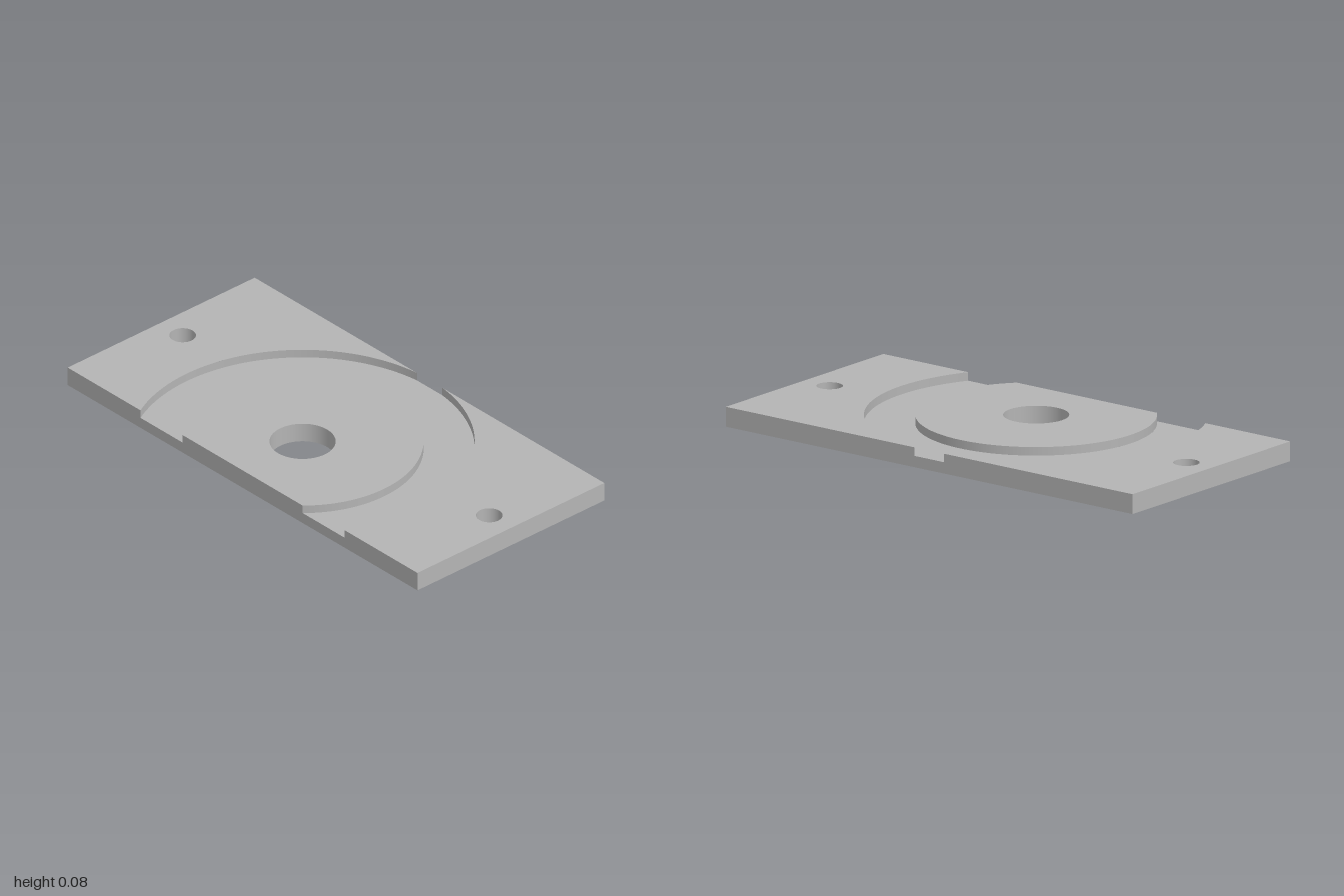
import * as THREE from 'three';

const W = 0.484, L = 1, H = 0.079, FLOOR = 0.045; // half width, half length, plate and groove heights
const CX = -0.173, BORE = 0.127, HUB = 0.464, RIM = 0.661; // groove centre and radii
const SCREW = 0.051, SCREW_Z = 0.877;
const SEG = 96;

export function createModel() {
  const group = new THREE.Group();
  const grey = new THREE.MeshStandardMaterial({ color: 0xb4b4b4 });
  grey.name = 'grey';

  const add = (name, geometry) => {
    const mesh = new THREE.Mesh(geometry, grey);
    mesh.name = name;
    group.add(mesh);
  };
  const circle = (x, y, r) => new THREE.Path().absarc(x, y, r, 0, Math.PI * 2, true);
  // Horizontal face, drawn in (x, -z)
  const face = (name, shape, y, up = true) => add(name,
    new THREE.ShapeGeometry(shape, SEG).rotateX(up ? -Math.PI / 2 : Math.PI / 2).translate(0, y, 0));
  // Upright curved wall; inward walls face their own axis
  const wall = (name, x, z, r, y0, y1, inward, start = 0, length = Math.PI * 2) => {
    const g = new THREE.CylinderGeometry(r, r, y1 - y0, SEG, 1, true, start, length).translate(x, (y0 + y1) / 2, z);
    if (inward) {
      g.index.array.reverse();
      const n = g.attributes.normal;
      for (let i = 0; i < n.count; i++) n.setXYZ(i, -n.getX(i), 0, -n.getZ(i));
    }
    add(name, g);
  };

  // Where the circles cross the long edges of the plate
  const left = -W - CX, right = W - CX;
  const hubA = Math.acos(left / HUB), rimA = Math.acos(left / RIM), rimB = Math.acos(right / RIM);
  const hubZ = HUB * Math.sin(hubA), rimZ = RIM * Math.sin(rimA), notchZ = RIM * Math.sin(rimB);

  // Underside
  const bottom = new THREE.Shape([[-W, -L], [W, -L], [W, L], [-W, L]].map(p => new THREE.Vector2(...p)));
  bottom.holes.push(circle(CX, 0, BORE), circle(0, SCREW_Z, SCREW), circle(0, -SCREW_Z, SCREW));
  face('underside', bottom, 0, false);

  // Hub top
  const hub = new THREE.Shape().absarc(CX, 0, HUB, -hubA, hubA, false);
  hub.holes.push(circle(CX, 0, BORE));
  face('hubTop', hub, H);

  // Groove floor, open at both long edges
  const floor = new THREE.Shape().absarc(CX, 0, RIM, -rimA, -rimB, false);
  floor.absarc(CX, 0, RIM, rimB, rimA, false);
  floor.absarc(CX, 0, HUB, hubA, -hubA, true);
  face('grooveFloor', floor, FLOOR);

  // Both ends of the plate: top, rim wall, end face and screw hole
  for (const s of [1, -1]) {
    const end = new THREE.Shape().moveTo(W, s * L).lineTo(-W, s * L);
    end.absarc(CX, 0, RIM, s * rimA, s * rimB, s > 0);
    end.holes.push(circle(0, s * SCREW_Z, SCREW));
    face('endTop', end, H);

    const a = Math.asin(left / RIM), b = Math.asin(right / RIM);
    wall('rimWall', CX, 0, RIM, FLOOR, H, true, s > 0 ? a : Math.PI - b, b - a);
    wall('screwHole', 0, s * SCREW_Z, SCREW, 0, H, true);
    add('endFace', new THREE.PlaneGeometry(2 * W, H)
      .rotateY(s > 0 ? 0 : Math.PI).translate(0, H / 2, s * L));
  }

  // Hub wall and central bore
  wall('hubWall', CX, 0, HUB, FLOOR, H, false, Math.asin(left / HUB), 2 * hubA);
  wall('bore', CX, 0, BORE, 0, H, true);

  // Long edges with the groove notches cut out
  const longEdge = (name, side, outline) => {
    const shape = new THREE.Shape(outline.map(p => new THREE.Vector2(...p)));
    add(name, new THREE.ShapeGeometry(shape).rotateY(side * Math.PI / 2).translate(side * W, 0, 0));
  };
  longEdge('leftEdge', 1, [[-L, 0], [L, 0], [L, H], [notchZ, H], [notchZ, FLOOR],
    [-notchZ, FLOOR], [-notchZ, H], [-L, H]]);
  longEdge('rightEdge', -1, [[-L, 0], [L, 0], [L, H], [rimZ, H], [rimZ, FLOOR], [hubZ, FLOOR], [hubZ, H],
    [-hubZ, H], [-hubZ, FLOOR], [-rimZ, FLOOR], [-rimZ, H], [-L, H]]);

  return group;
}
